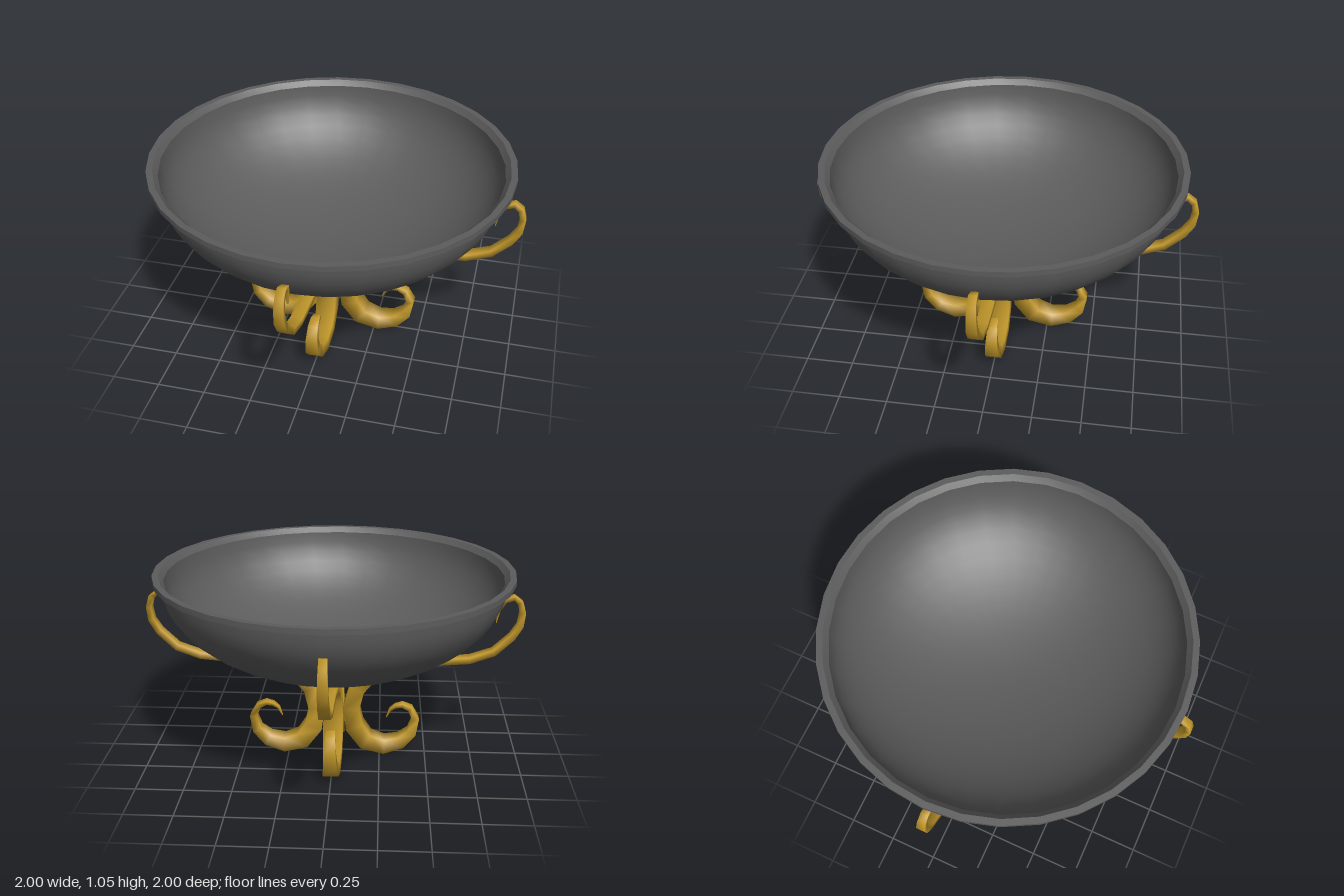
import * as THREE from 'three';
import { toCreasedNormals } from 'three/addons/utils/BufferGeometryUtils.js';

const iron = new THREE.MeshStandardMaterial({ color: 0x5c5c5c });
const gold = new THREE.MeshStandardMaterial({ color: 0xc49a2c });

// Tentacle centre line: [outward, up, half thickness, half width]
const TENTACLE = [
  [0.285, 0.205, 0.002, 0.004], [0.307, 0.255, 0.007, 0.014], [0.335, 0.276, 0.009, 0.018],
  [0.372, 0.284, 0.011, 0.023], [0.415, 0.265, 0.014, 0.026], [0.445, 0.205, 0.019, 0.03],
  [0.425, 0.125, 0.026, 0.035], [0.365, 0.068, 0.034, 0.041], [0.275, 0.043, 0.041, 0.046],
  [0.175, 0.073, 0.047, 0.05], [0.113, 0.16, 0.049, 0.052], [0.094, 0.27, 0.044, 0.052],
  [0.125, 0.385, 0.041, 0.047], [0.2, 0.462, 0.034, 0.042], [0.31, 0.508, 0.026, 0.037],
  [0.47, 0.54, 0.019, 0.033], [0.72, 0.558, 0.017, 0.03], [0.845, 0.603, 0.017, 0.028],
  [0.935, 0.69, 0.017, 0.026], [0.974, 0.755, 0.016, 0.025], [0.983, 0.825, 0.015, 0.023],
  [0.968, 0.88, 0.014, 0.021], [0.935, 0.907, 0.013, 0.02], [0.887, 0.888, 0.011, 0.017],
  [0.861, 0.84, 0.007, 0.012], [0.85, 0.765, 0.002, 0.004],
];

// Sweep a four-cornered section along the curled centre line
function tentacleGeometry() {
  const corners = [[1, 1], [-1, 1], [-1, -1], [1, -1]];
  const positions = [], index = [];
  const last = TENTACLE.length - 1;
  TENTACLE.forEach(([x, y, thick, wide], i) => {
    const before = TENTACLE[Math.max(i - 1, 0)], after = TENTACLE[Math.min(i + 1, last)];
    const dir = new THREE.Vector2(after[0] - before[0], after[1] - before[1]).normalize();
    for (const [n, b] of corners) {
      positions.push(x - dir.y * n * thick, y + dir.x * n * thick, b * wide);
    }
    if (i === last) return;
    for (let j = 0; j < 4; j++) {
      const a = i * 4 + j, c = i * 4 + (j + 1) % 4;
      index.push(a, c, c + 4, a, c + 4, a + 4);
    }
  });
  // end caps
  const e = last * 4;
  index.push(0, 2, 1, 0, 3, 2, e, e + 1, e + 2, e, e + 2, e + 3);
  const geometry = new THREE.BufferGeometry();
  geometry.setAttribute('position', new THREE.Float32BufferAttribute(positions, 3));
  geometry.setIndex(index);
  geometry.computeVertexNormals();
  return geometry;
}

// Half-ellipse bowl with a wall and a flat overhanging rim
function bowlGeometry() {
  const steps = 14, outer = [], inner = [];
  for (let i = 0; i <= steps; i++) {
    const t = (i / steps) * Math.PI / 2;
    outer.push(new THREE.Vector2(0.893 * Math.sin(t), 1.022 - 0.517 * Math.cos(t)));
    inner.unshift(new THREE.Vector2(0.875 * Math.sin(t), 1.022 - 0.495 * Math.cos(t)));
  }
  const rim = [[0.932, 1.022], [0.932, 1.05], [0.9, 1.05]].map(([r, y]) => new THREE.Vector2(r, y));
  return toCreasedNormals(new THREE.LatheGeometry([...outer, ...rim, ...inner], 32), 0.6);
}

export function createModel() {
  const model = new THREE.Group();
  model.name = 'tentacleBowl';

  const bowl = new THREE.Mesh(bowlGeometry(), iron);
  bowl.name = 'bowl';
  model.add(bowl);

  // Four tentacles, a quarter turn apart
  const stand = new THREE.Group();
  stand.name = 'stand';
  const geometry = tentacleGeometry();
  ['left', 'back', 'right', 'front'].forEach((side, i) => {
    const leg = new THREE.Mesh(geometry, gold);
    leg.name = side + 'Tentacle';
    leg.rotation.y = i * Math.PI / 2;
    stand.add(leg);
  });
  model.add(stand);
  return model;
}
